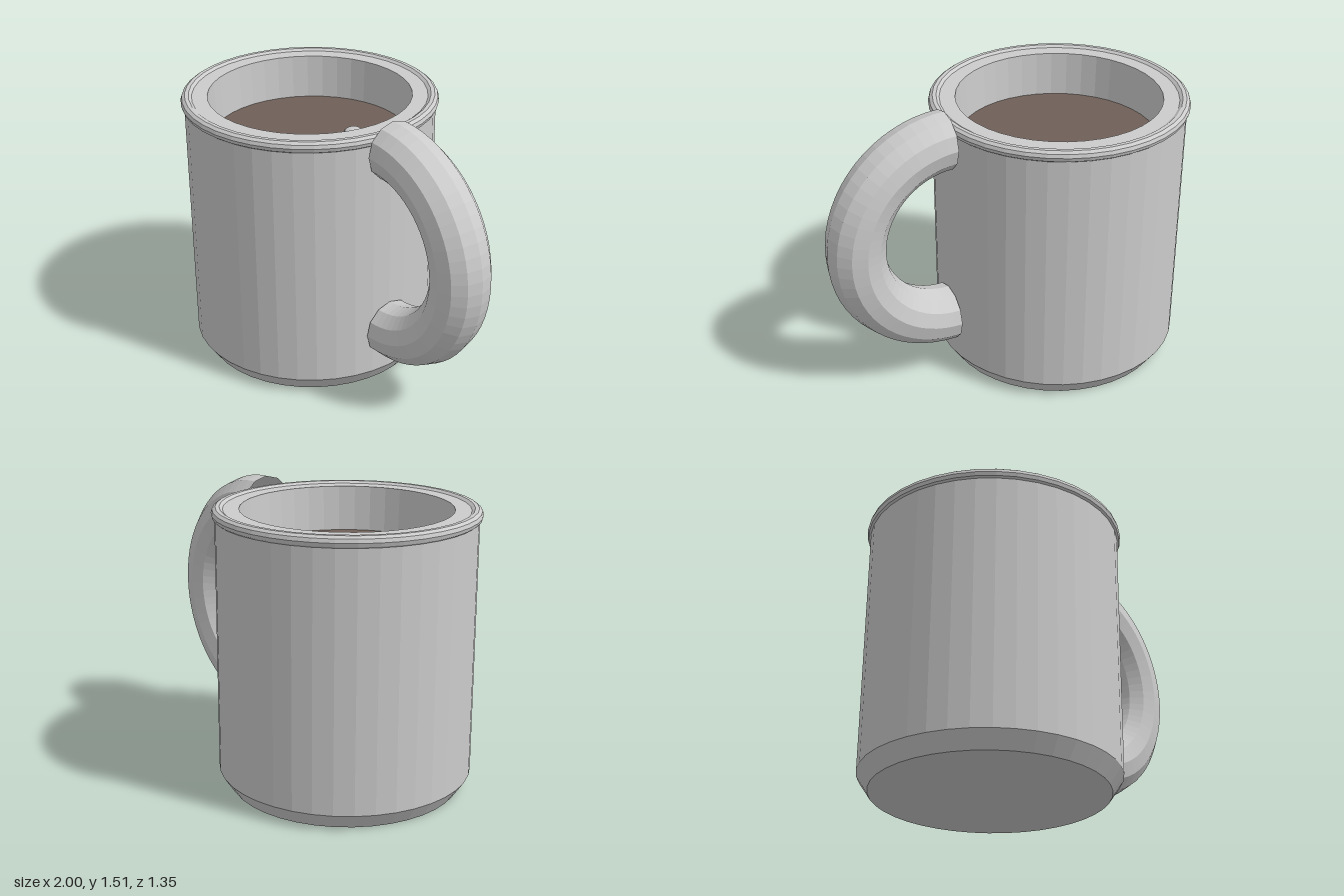
import * as THREE from 'three';

const CUP_X = -0.328;
const SIDES = 40;

function material(color = 0xcccccc, side = THREE.FrontSide) {
  return new THREE.MeshStandardMaterial({ color, side, flatShading: true });
}

export function createModel() {
  const model = new THREE.Group();
  model.name = 'mug';

  const add = (name, geometry, mat, x, y, z = 0) => {
    const mesh = new THREE.Mesh(geometry, mat);
    mesh.name = name;
    mesh.position.set(x, y, z);
    model.add(mesh);
    return mesh;
  };

  // Thick-walled cup with a bevelled foot and a slightly tapered cavity
  const profile = [
    [0, 0], [0.6, 0], [0.657, 0.085], [0.657, 1.45],
    [0.535, 1.45], [0.522, 1.16], [0, 1.16],
  ].map(([r, y]) => new THREE.Vector2(r, y));
  add('cupBody', new THREE.LatheGeometry(profile, SIDES), material(), CUP_X, 0);

  // Rounded bead around the lip
  const rim = new THREE.TorusGeometry(0.642, 0.032, 10, SIDES).rotateX(-Math.PI / 2);
  add('rim', rim, material(), CUP_X, 1.431);

  // Half-ring handle, open at the ends where it meets the wall
  const handle = new THREE.TorusGeometry(0.512, 0.153, 12, 32, Math.PI).rotateZ(-Math.PI / 2);
  add('handle', handle, material(0xcccccc, THREE.DoubleSide), 0.333, 0.844);

  // Drink surface and a single flattened bubble
  const drink = new THREE.CircleGeometry(0.522, SIDES).rotateX(-Math.PI / 2);
  add('drink', drink, material(0x6f6058), CUP_X, 1.215);
  const bubble = add('bubble', new THREE.SphereGeometry(0.05, 12, 8), material(), -0.2, 1.22, -0.19);
  bubble.scale.y = 0.4;

  return model;
}
